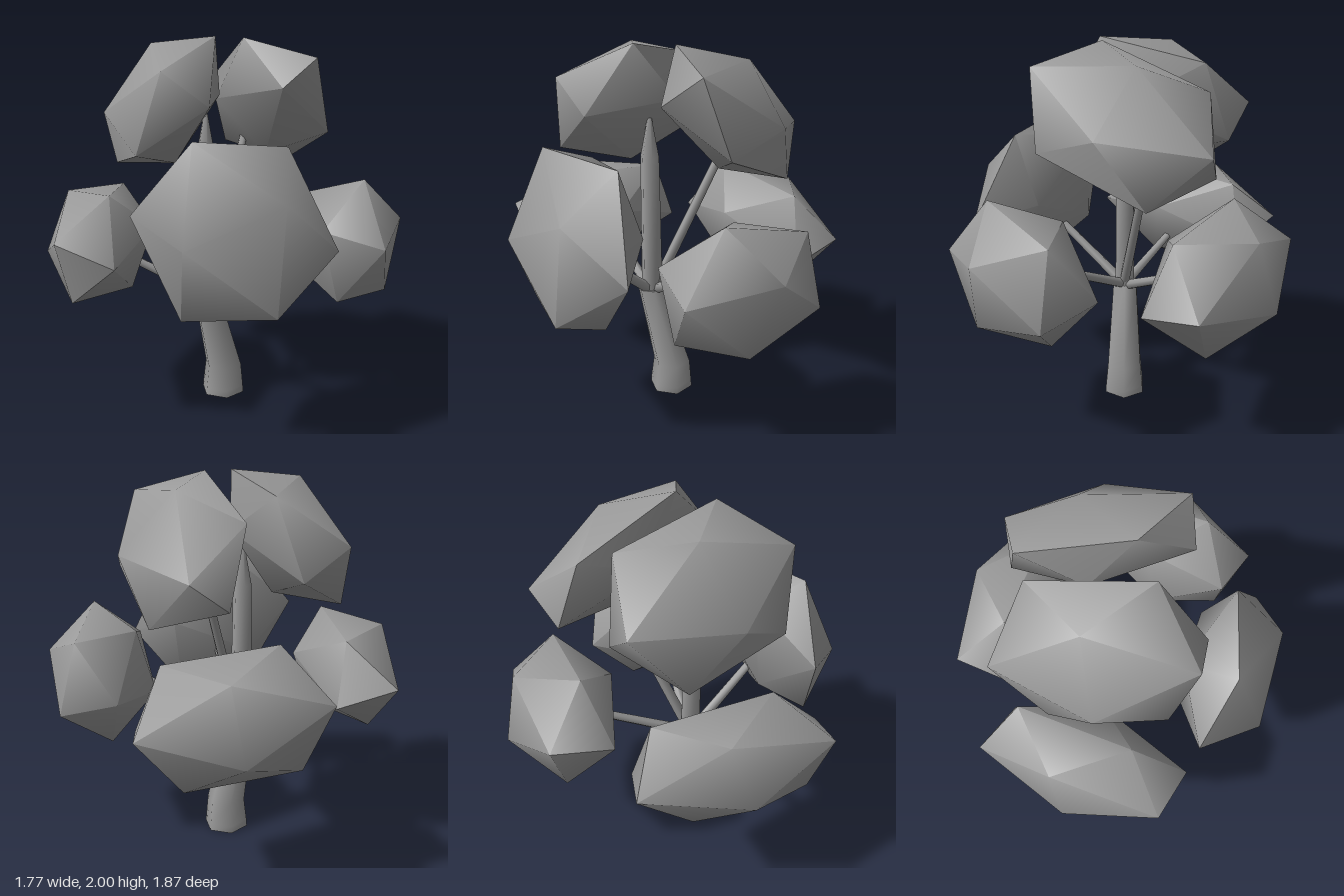
import * as THREE from 'three';
import { toCreasedNormals } from 'three/addons/utils/BufferGeometryUtils.js';
import { ConvexGeometry } from 'three/addons/geometries/ConvexGeometry.js';

const PHI = (1 + Math.sqrt(5)) / 2;
const vec = (p) => new THREE.Vector3(...p);

// Skewed icosahedron: three corners of one face fix all twelve corners.
function clumpGeometry(a, b, c) {
  const [A, B, C] = [a, b, c].map(vec);
  const rim = (p, q, r) => p.clone().sub(q.clone().add(r).divideScalar(PHI));
  const half = [A, B, C, rim(A, B, C), rim(B, A, C), rim(C, A, B)];
  const points = half.flatMap((p) => [p, p.clone().negate()]);
  return toCreasedNormals(new ConvexGeometry(points), 1.0);
}

// Six-sided column through rings of [y, z, radius], listed from the bottom up.
function columnGeometry(rings) {
  const n = rings.length - 1;
  const g = new THREE.CylinderGeometry(1, 1, 1, 6, n);
  const pos = g.attributes.position;
  for (let i = 0; i < pos.count; i++) {
    const [y, z, r] = rings[Math.round((pos.getY(i) + 0.5) * n)];
    pos.setXYZ(i, pos.getX(i) * r, y, pos.getZ(i) * r + z);
  }
  return toCreasedNormals(g, 1.1);
}

// Tapered branch between two points.
function branch(from, to, material) {
  const a = vec(from), b = vec(to);
  const dir = b.clone().sub(a);
  const g = new THREE.CylinderGeometry(0.022, 0.03, dir.length(), 6);
  const mesh = new THREE.Mesh(toCreasedNormals(g, 1.1), material);
  mesh.position.copy(a).add(b).multiplyScalar(0.5);
  mesh.quaternion.setFromUnitVectors(new THREE.Vector3(0, 1, 0), dir.normalize());
  return mesh;
}

export function createModel() {
  const model = new THREE.Group();
  model.name = 'tree';
  const grey = new THREE.MeshStandardMaterial({ color: 0x999999 });
  grey.name = 'grey';

  // Trunk: flared foot, forward lean, then an upright leader
  const trunk = new THREE.Mesh(columnGeometry([
    [0, -0.055, 0.125], [0.04, -0.055, 0.122], [0.17, -0.057, 0.108], [0.63, 0.07, 0.075],
  ]), grey);
  trunk.name = 'trunk';
  const leader = new THREE.Mesh(columnGeometry([
    [0.58, 0.06, 0.062], [1.4, 0.07, 0.052], [1.61, 0.07, 0.012],
  ]), grey);
  leader.name = 'leader';
  model.add(trunk, leader);

  // Leaf clumps: centre, then three corners of one outer face relative to it
  const clumps = [
    ['frontTopClump', [-0.17, 1.665, 0.22], [0.23, -0.23, 0.335], [-0.12, -0.04, 0.29], [0.37, 0.17, 0.28]],
    ['backTopClump', [0, 1.65, -0.375], [-0.06, 0.27, -0.06], [0.125, -0.03, -0.27], [-0.4, -0.1, -0.28]],
    ['frontLeftClump', [0.51, 1.1, 0.315], [0.04, -0.02, 0.34], [0.285, 0.17, -0.05], [0.29, -0.34, 0]],
    ['frontRightClump', [-0.37, 0.94, 0.515], [0.275, 0.09, 0.415], [-0.185, 0.25, 0.08], [-0.185, -0.07, 0.225]],
    ['backRightClump', [-0.48, 0.915, -0.475], [0.14, -0.025, -0.465], [-0.15, 0.235, -0.155], [-0.255, -0.12, -0.166]],
    ['backLeftClump', [0.5, 0.93, -0.515], [-0.145, -0.13, -0.37], [0.21, -0.25, -0.08], [0.19, 0.125, -0.215]],
  ];
  for (const [name, centre, a, b, c] of clumps) {
    const clump = new THREE.Mesh(clumpGeometry(a, b, c), grey);
    clump.name = name;
    clump.position.set(...centre);
    model.add(clump);
  }

  // Branches from the fork into the clumps
  const branches = [
    ['backTopBranch', [0, 0.66, 0.03], [-0.13, 1.5, -0.33]],
    ['frontLeftBranch', [0.01, 0.62, 0.07], [0.45, 1.0, 0.27]],
    ['frontRightBranch', [-0.01, 0.62, 0.08], [-0.32, 0.86, 0.43]],
    ['backRightBranch', [-0.01, 0.62, 0.04], [-0.4, 0.88, -0.36]],
    ['backLeftBranch', [0.01, 0.63, 0.04], [0.42, 0.92, -0.4]],
  ];
  for (const [name, from, to] of branches) {
    const mesh = branch(from, to, grey);
    mesh.name = name;
    model.add(mesh);
  }
  return model;
}
